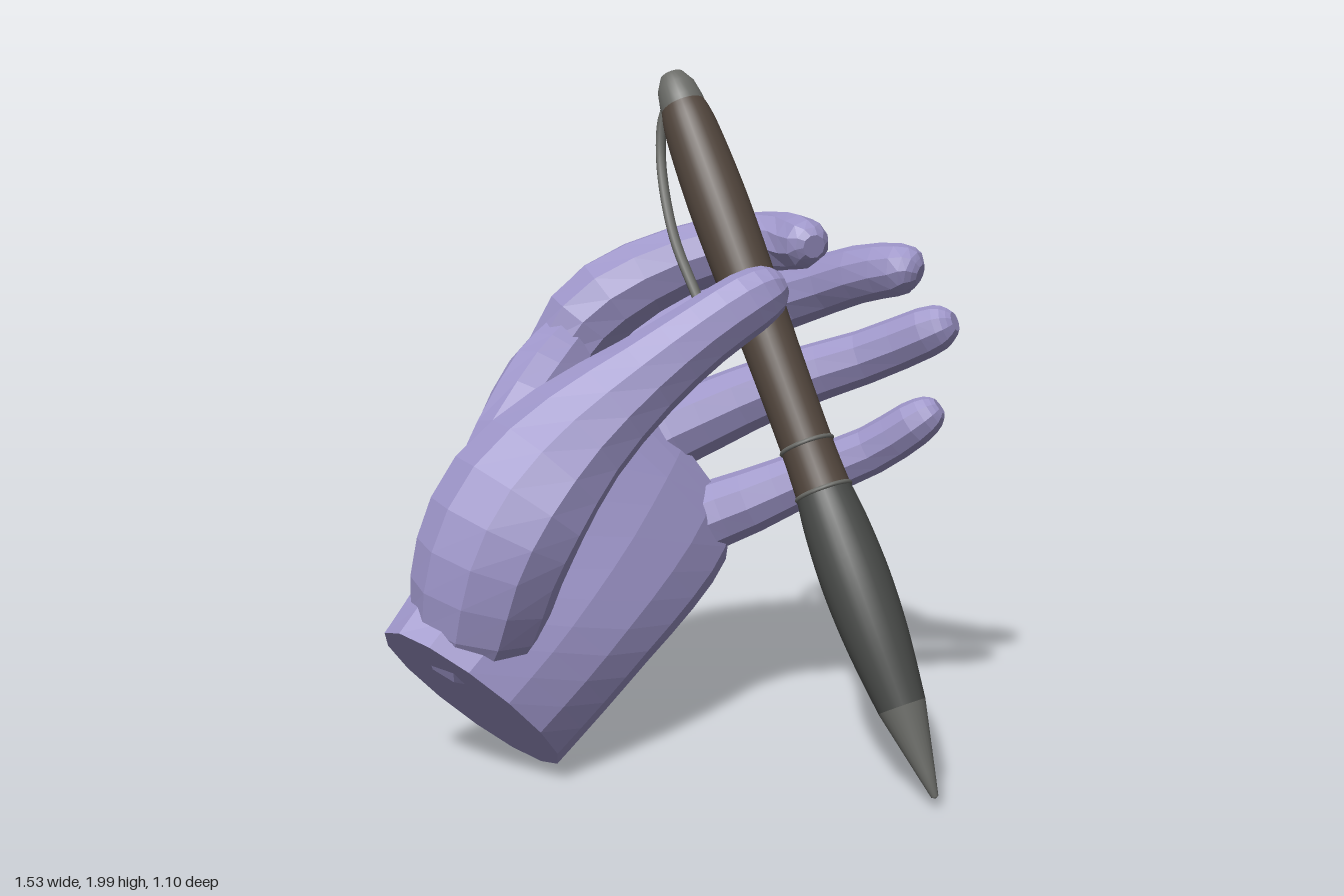
import * as THREE from 'three';

const skin = new THREE.MeshStandardMaterial({ color: 0x9b93c6, flatShading: true });
const barrelMat = new THREE.MeshStandardMaterial({ color: 0x52463d });
const gripMat = new THREE.MeshStandardMaterial({ color: 0x484a48 });
const metalMat = new THREE.MeshStandardMaterial({ color: 0x6a6b67 });

const vec = (a) => new THREE.Vector3(...a);

// Smooth in-between points, two steps per given triple
function refine(triples) {
  const curve = new THREE.CatmullRomCurve3(triples.map(vec), false, 'catmullrom');
  return curve.getPoints((triples.length - 1) * 2);
}

// Closed skin over elliptical sections { c: centre, u, v: half axes }
function loft(name, sections, sides) {
  const pos = [], index = [];
  for (const { c, u, v } of sections) {
    for (let j = 0; j < sides; j++) {
      const t = (j / sides) * Math.PI * 2;
      const p = c.clone().addScaledVector(u, Math.cos(t)).addScaledVector(v, Math.sin(t));
      pos.push(p.x, p.y, p.z);
    }
  }
  const n = sections.length;
  const first = n * sides, last = first + 1;
  pos.push(...sections[0].c.toArray(), ...sections[n - 1].c.toArray());
  for (let j = 0; j < sides; j++) {
    const k = (j + 1) % sides;
    for (let i = 0; i < n - 1; i++) {
      const a = i * sides + j, b = i * sides + k;
      index.push(a, b, b + sides, a, b + sides, a + sides);
    }
    index.push(first, k, j, last, (n - 1) * sides + j, (n - 1) * sides + k);
  }
  const g = new THREE.BufferGeometry();
  g.setAttribute('position', new THREE.Float32BufferAttribute(pos, 3));
  g.setIndex(index);
  g.computeVertexNormals();
  const mesh = new THREE.Mesh(g, skin);
  mesh.name = name;
  return mesh;
}

// Limb through rows of [x, y, z, radius, widening]; back points to its rear side
function limb(name, rows, back) {
  const pts = refine(rows.map((r) => r.slice(0, 3)));
  const radii = refine(rows.map(([, , , r, wide = 1]) => [r * wide, r, 0]));
  const sections = pts.map((c, i) => {
    const d = pts[Math.min(i + 1, pts.length - 1)].clone().sub(pts[Math.max(i - 1, 0)]).normalize();
    const u = new THREE.Vector3().crossVectors(back, d).normalize();
    const v = new THREE.Vector3().crossVectors(d, u);
    return { c, u: u.multiplyScalar(radii[i].x), v: v.multiplyScalar(radii[i].y) };
  });
  return loft(name, sections, 10);
}

function createHand() {
  const hand = new THREE.Group();
  hand.name = 'hand';

  // Palm, from the cut wrist to the knuckles: centre, half width, half thickness
  const rows = [
    [[-0.52, 0.235, 0.335], [0.21, -0.21, -0.11], [-0.12, -0.1, -0.17]],
    [[-0.45, 0.35, 0.2], [0.235, -0.21, -0.11], [-0.12, -0.09, -0.16]],
    [[-0.39, 0.47, 0.05], [0.27, -0.21, -0.1], [-0.115, -0.08, -0.15]],
    [[-0.32, 0.635, -0.14], [0.29, -0.26, -0.11], [-0.105, -0.065, -0.14]],
    [[-0.27, 0.79, -0.32], [0.3, -0.3, -0.1], [-0.1, -0.06, -0.12]],
    [[-0.19, 0.89, -0.42], [0.22, -0.27, -0.03], [-0.05, -0.03, -0.06]],
  ];
  const [c, u, v] = [0, 1, 2].map((k) => refine(rows.map((r) => r[k])));
  hand.add(loft('palm', c.map((p, i) => ({ c: p, u: u[i], v: v[i] })), 14));

  // Thumb with its broad base
  hand.add(limb('thumb', [
    [-0.53, 0.34, 0.31, 0.12, 1.1], [-0.5, 0.47, 0.335, 0.17, 1.15], [-0.46, 0.64, 0.335, 0.185, 1.2],
    [-0.39, 0.81, 0.285, 0.17, 1.35], [-0.26, 0.98, 0.17, 0.14, 1.3], [-0.09, 1.13, 0.065, 0.115, 1.1],
    [0.06, 1.25, -0.01, 0.1], [0.17, 1.33, -0.075, 0.092], [0.235, 1.37, -0.115, 0.072],
    [0.265, 1.385, -0.13, 0.035],
  ], new THREE.Vector3(0.03, -0.115, -0.185)));

  const limbs = {
    // Fold of skin between thumb and index finger
    thumbWeb: [
      [-0.59, 0.46, 0.25, 0.1], [-0.57, 0.7, 0.15, 0.11],
      [-0.52, 0.92, 0.02, 0.11], [-0.47, 1.08, -0.16, 0.12], [-0.42, 1.18, -0.27, 0.1],
    ],
    indexFinger: [
      [-0.42, 0.96, -0.3, 0.12], [-0.43, 1.16, -0.29, 0.13], [-0.32, 1.31, -0.33, 0.13],
      [-0.12, 1.42, -0.41, 0.11], [0.07, 1.47, -0.43, 0.1], [0.22, 1.485, -0.38, 0.09],
      [0.3, 1.485, -0.3, 0.072], [0.325, 1.48, -0.27, 0.035],
    ],
    middleFinger: [
      [-0.34, 0.9, -0.34, 0.12], [-0.36, 1.05, -0.4, 0.125], [-0.22, 1.15, -0.44, 0.118],
      [0, 1.24, -0.45, 0.107], [0.25, 1.33, -0.4, 0.094], [0.45, 1.4, -0.3, 0.085],
      [0.58, 1.42, -0.24, 0.076], [0.62, 1.415, -0.225, 0.06], [0.64, 1.41, -0.22, 0.03],
    ],
    ringFinger: [
      [-0.27, 0.76, -0.36, 0.11], [-0.21, 0.85, -0.42, 0.12], [-0.04, 0.94, -0.445, 0.113],
      [0.2, 1.05, -0.455, 0.096], [0.45, 1.14, -0.445, 0.083], [0.64, 1.225, -0.41, 0.076],
      [0.7, 1.25, -0.4, 0.058], [0.725, 1.26, -0.395, 0.03],
    ],
    littleFinger: [
      [-0.14, 0.56, -0.33, 0.1], [-0.04, 0.62, -0.395, 0.108], [0.11, 0.685, -0.41, 0.1],
      [0.3, 0.775, -0.425, 0.083], [0.48, 0.86, -0.42, 0.075], [0.61, 0.95, -0.4, 0.07],
      [0.665, 0.99, -0.4, 0.052], [0.685, 1.005, -0.4, 0.028],
    ],
  };
  const back = new THREE.Vector3(-0.35, 0.3, -0.9);
  for (const [name, points] of Object.entries(limbs)) hand.add(limb(name, points, back));
  return hand;
}

function createPen() {
  const pen = new THREE.Group();
  pen.name = 'pen';
  const tip = new THREE.Vector3(0.765, 0.03, 0.215);
  const top = new THREE.Vector3(-0.145, 1.995, -0.4);
  const body = new THREE.Group();
  body.name = 'penBody';
  body.position.copy(tip);
  body.quaternion.setFromUnitVectors(new THREE.Vector3(0, 1, 0), top.clone().sub(tip).normalize());

  // Turned parts as [radius, distance from tip]
  const turned = (name, material, profile, smooth = 0) => {
    let pts = profile.map(([r, y]) => new THREE.Vector2(r, y));
    if (smooth) pts = new THREE.SplineCurve(pts).getPoints(smooth);
    const mesh = new THREE.Mesh(new THREE.LatheGeometry(pts, 28), material);
    mesh.name = name;
    body.add(mesh);
  };
  turned('nib', metalMat, [[0, 0], [0.01, 0.005], [0.025, 0.07], [0.068, 0.26]]);
  turned('grip', gripMat, [[0.068, 0.26], [0.09, 0.45], [0.098, 0.62], [0.092, 0.78], [0.08, 0.89]], 20);
  turned('barrel', barrelMat, [[0.08, 0.89], [0.076, 1.03], [0.079, 1.3], [0.088, 1.65], [0.089, 1.85], [0.08, 2.05], [0.066, 2.13]], 28);
  turned('cap', metalMat, [[0.068, 2.11], [0.067, 2.14], [0.058, 2.19], [0.036, 2.23], [0, 2.245]]);

  // Trim bands
  for (const [y, r] of [[0.89, 0.079], [1.03, 0.075]]) {
    const band = new THREE.Mesh(new THREE.TorusGeometry(r, 0.007, 6, 28), metalMat);
    band.rotation.x = Math.PI / 2;
    band.position.y = y;
    band.name = 'trimBand';
    body.add(band);
  }
  pen.add(body);

  // Spring clip
  const path = new THREE.CatmullRomCurve3([
    [-0.11, 1.92, -0.385], [-0.16, 1.87, -0.4], [-0.17, 1.74, -0.39],
    [-0.11, 1.51, -0.31], [-0.01, 1.31, -0.24],
  ].map(vec));
  const clip = new THREE.Mesh(new THREE.TubeGeometry(path, 28, 0.016, 8), metalMat);
  clip.name = 'clip';
  pen.add(clip);
  return pen;
}

export function createModel() {
  const model = new THREE.Group();
  model.name = 'handHoldingPen';
  model.add(createHand(), createPen());
  return model;
}
